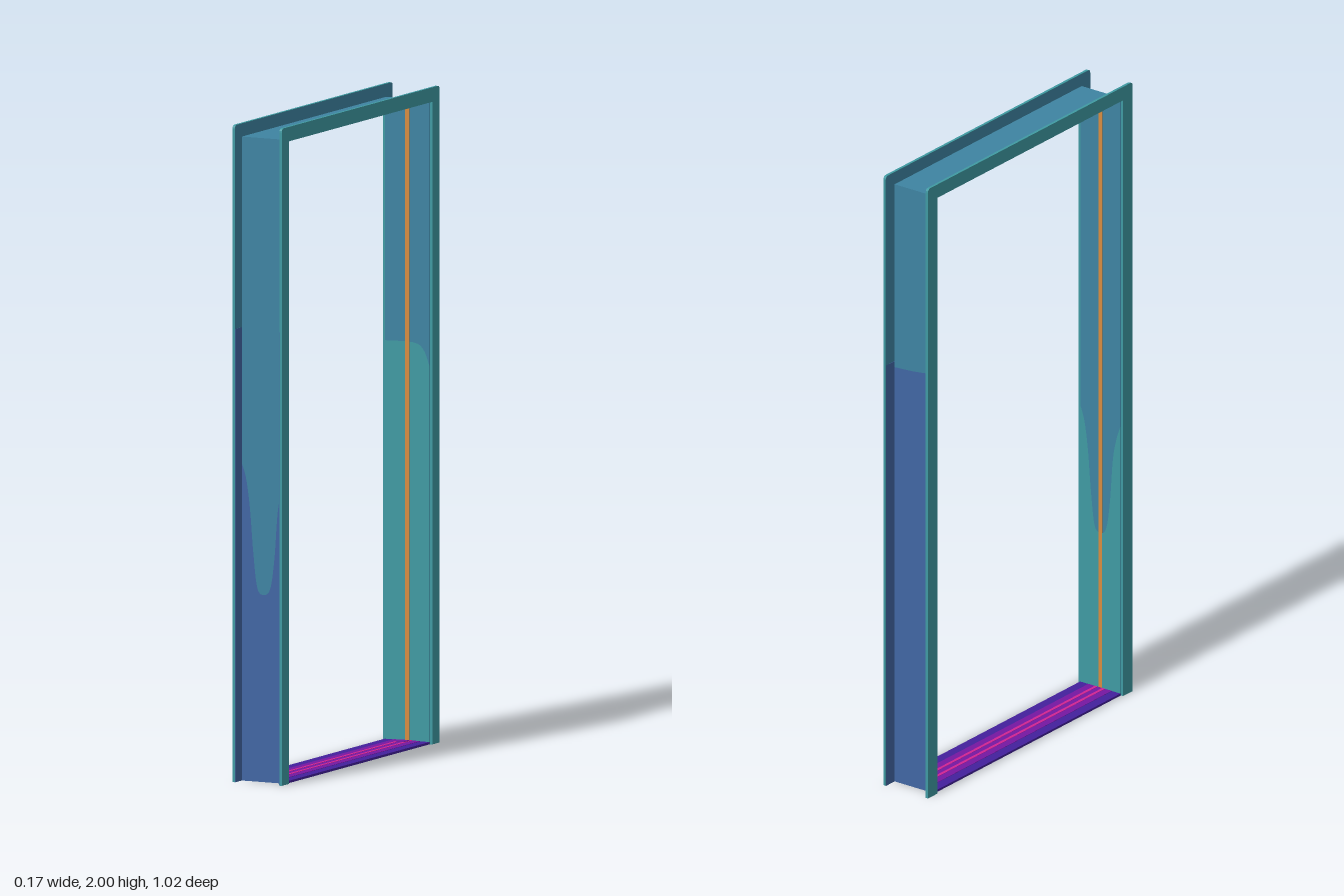
import * as THREE from 'three';

const mat = (name, color) => {
  const m = new THREE.MeshStandardMaterial({ color });
  m.name = name;
  return m;
};

export function createModel() {
  const steel = mat('steel blue', 0x3e84a2);
  const teal = mat('teal', 0x3f9aa2);
  const blue = mat('blue', 0x4166a3);
  const indigo = mat('indigo', 0x43209c);
  const purple = mat('purple', 0x7617a2);
  const magenta = mat('magenta purple', 0xc82abe);
  const pink = mat('pink', 0xd02494);
  const orange = mat('orange brown', 0xd88c40);
  const dark = mat('dark metal', 0x2a3a44);

  const model = new THREE.Group();
  model.name = 'doorFrame';
  const add = (name, geometry, material, x = 0, y = 0, z = 0, ry = 0) => {
    const mesh = new THREE.Mesh(geometry, material);
    mesh.name = name;
    mesh.position.set(x, y, z);
    mesh.rotation.y = ry;
    model.add(mesh);
    return mesh;
  };
  const box = (name, m, sx, sy, sz, x, y, z) =>
    add(name, new THREE.BoxGeometry(sx, sy, sz), m, x, y, z);

  const half = 0.51, inner = 0.4625, head = 1.956, w = 0.152, t = 0.005;

  // U-shaped outline of the casing with slightly rounded outer corners
  const casingShape = (o, i, top, under, r) => {
    const s = new THREE.Shape();
    s.moveTo(-o, 0);
    s.lineTo(-o, top - r);
    s.quadraticCurveTo(-o, top, -o + r, top);
    s.lineTo(o - r, top);
    s.quadraticCurveTo(o, top, o, top - r);
    s.lineTo(o, 0);
    s.lineTo(i, 0);
    s.lineTo(i, under);
    s.lineTo(-i, under);
    s.lineTo(-i, 0);
    return s;
  };

  // Casings on both sides of the wall, with two-tone backs
  for (const side of [1, -1]) {
    const casing = new THREE.ExtrudeGeometry(casingShape(half, inner, 2, head, 0.012),
      { depth: 0.0085, bevelEnabled: false, curveSegments: 4 });
    add('casing', casing, teal, side * 0.0757, 0, 0, side * Math.PI / 2);
    const back = new THREE.ShapeGeometry(casingShape(half - 0.001, inner, 1.999, head, 0.012), 4);
    add('casingBack', back, steel, side * 0.075, 0, 0, -side * Math.PI / 2);
    for (const z of [1, -1]) {
      box('casingBackLower', blue, 0.0008, 1.38, 0.042, side * 0.0746, 0.69, z * 0.4882);
    }
  }

  // Lower coloured area of a jamb face, below a smooth boundary
  const lowerFace = (points) => {
    const s = new THREE.Shape();
    s.moveTo(-w / 2, 0);
    s.lineTo(w / 2, 0);
    s.lineTo(w / 2, points[0][1]);
    s.splineThru(points.slice(1).map(([x, y]) => new THREE.Vector2(x, y)));
    return new THREE.ShapeGeometry(s, 6);
  };
  const dip = [[0.076, 0.94], [0.06, 0.89], [0.047, 0.82], [0.036, 0.68], [0.022, 0.59],
    [0, 0.57], [-0.022, 0.59], [-0.036, 0.7], [-0.047, 0.83], [-0.06, 0.92], [-0.076, 0.97]];
  const innerDip = dip.map(([x, y]) => [x, y - 0.055]);
  const flat = [[0.076, 1.375], [0, 1.365], [-0.076, 1.36]];
  const slope = [[0.076, 1.15], [0.055, 1.2], [0.02, 1.22], [-0.076, 1.22]];

  // Jambs and head
  const jambZ = 0.4638;
  for (const z of [1, -1]) {
    box('jamb', steel, w, head, t, 0, head / 2, z * jambZ);
    const out = jambZ + t / 2 + 0.0008, inn = jambZ - t / 2 - 0.0008;
    add('jambOuterLower', lowerFace(z > 0 ? dip : flat), blue, 0, 0, z * out, z > 0 ? 0 : Math.PI);
    add('jambInnerLower', lowerFace(z > 0 ? innerDip : slope), teal, 0, 0, z * inn, z > 0 ? Math.PI : 0);
    box('jambSeal', orange, 0.014, head - 0.006, 0.002, 0, head / 2, z * (inn - 0.0002));
  }
  box('head', steel, w, t, 2 * (jambZ + t / 2), 0, head + t / 2 - 0.001, 0);
  box('headSeal', orange, 0.014, 0.005, 0.92, 0, head - 0.0035, 0);

  // Slim strike edge beside the front seal, and pivots at the back
  const strike = new THREE.PlaneGeometry(0.006, 0.19);
  add('strikeEdge', strike, dark, -0.0085, 0.91, 0.457, Math.PI / 2);
  box('topPivot', steel, 0.03, 0.003, 0.035, 0, head - 0.005, -0.43);
  box('bottomPivot', purple, 0.03, 0.003, 0.035, 0, 0.009, -0.43);

  // Threshold with a coloured tread and thin ribs
  box('threshold', [indigo, indigo, indigo, magenta, indigo, indigo], w, 0.007, 0.92, 0, 0.0035, 0);
  box('thresholdTread', purple, 0.088, 0.001, 0.918, 0, 0.0075, 0);
  for (const x of [-0.014, 0.014]) {
    box('thresholdRib', pink, 0.01, 0.001, 0.916, x, 0.0083, 0);
  }
  return model;
}
